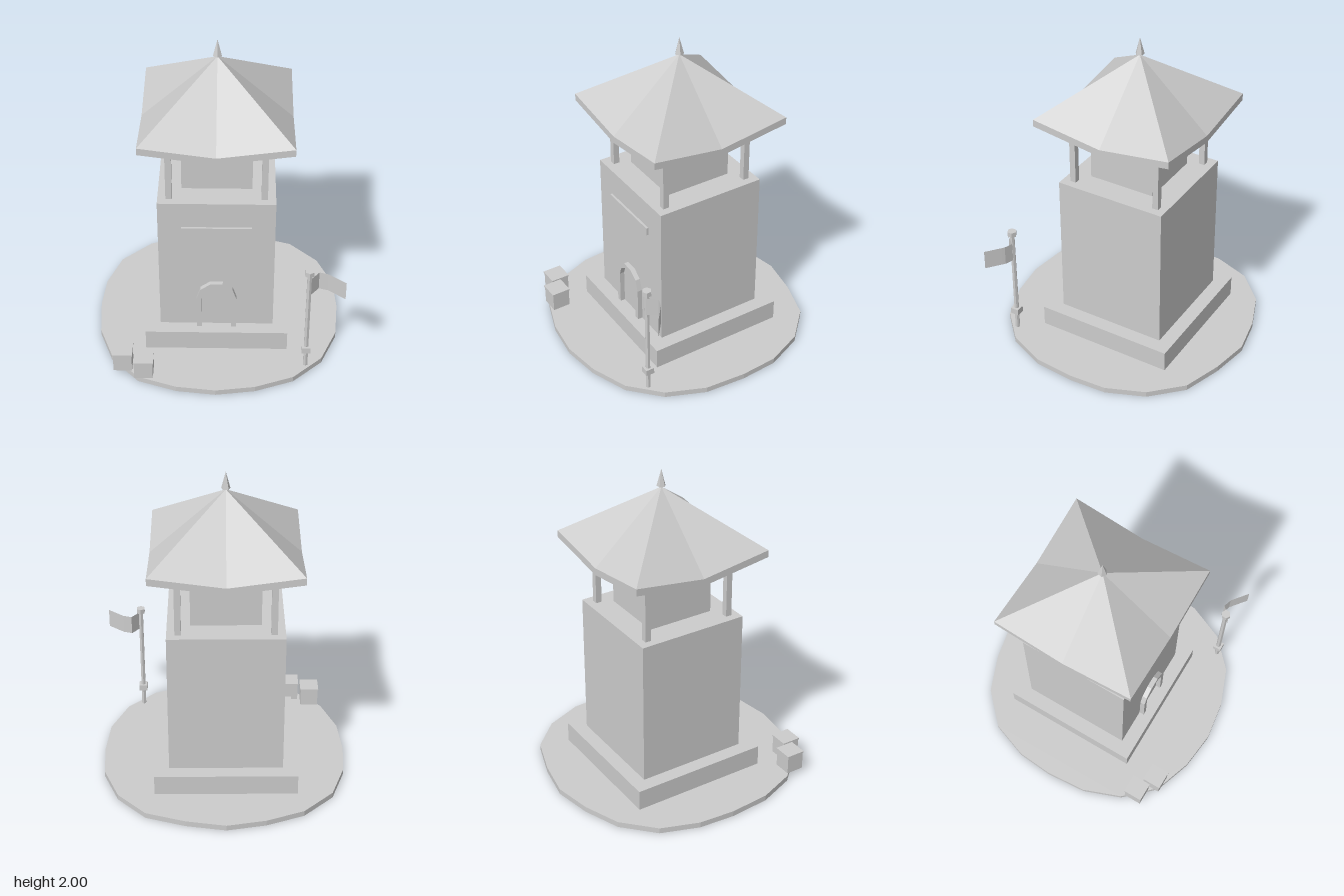
import * as THREE from 'three';

export function createModel() {
  const model = new THREE.Group();
  const stone = new THREE.MeshStandardMaterial({ color: 0xcccccc, flatShading: true });
  stone.name = 'pale grey';
  const cloth = new THREE.MeshStandardMaterial({ color: 0xcccccc, flatShading: true, side: THREE.DoubleSide });
  cloth.name = 'pale grey cloth';

  const add = (name, geometry, x = 0, y = 0, z = 0, parent = model, material = stone) => {
    const mesh = new THREE.Mesh(geometry, material);
    mesh.name = name;
    mesh.position.set(x, y, z);
    parent.add(mesh);
    return mesh;
  };
  // Box given by its footprint centre, bottom and top
  const box = (name, w, d, y0, y1, x, z, parent) =>
    add(name, new THREE.BoxGeometry(w, y1 - y0, d), x, (y0 + y1) / 2, z, parent);
  const rod = (name, r, y0, y1, parent) =>
    add(name, new THREE.CylinderGeometry(r, r, y1 - y0, 6), 0, (y0 + y1) / 2, 0, parent);

  // Uneven round ground slab, outline as x, z pairs
  const outline = [
    [-0.008, -0.783], [0.237, -0.74], [0.482, -0.66], [0.66, -0.48], [0.756, -0.245],
    [0.77, -0.008], [0.748, 0.25], [0.647, 0.487], [0.467, 0.658], [0.232, 0.748],
    [-0.008, 0.783], [-0.248, 0.755], [-0.485, 0.673], [-0.66, 0.487], [-0.75, 0.25],
    [-0.77, -0.008], [-0.752, -0.235], [-0.668, -0.47], [-0.482, -0.648], [-0.25, -0.737],
  ];
  const slab = new THREE.ExtrudeGeometry(
    new THREE.Shape(outline.map(([x, z]) => new THREE.Vector2(x, -z))),
    { depth: 0.036, bevelEnabled: false });
  slab.rotateX(-Math.PI / 2);
  add('groundSlab', slab);

  // Tower, centred slightly off the slab
  const tower = new THREE.Group();
  tower.name = 'tower';
  tower.position.set(-0.009, 0, -0.034);
  model.add(tower);
  box('plinth', 0.884, 0.884, 0.035, 0.168, 0, 0, tower);
  box('towerBody', 0.704, 0.704, 0.168, 1.094, 0, 0, tower);
  box('lookoutRoom', 0.424, 0.424, 1.108, 1.465, 0, 0, tower);
  for (const sx of [-1, 1]) for (const sz of [-1, 1]) {
    box('roofPost', 0.038, 0.038, 1.094, 1.485, sx * 0.284, sz * 0.284, tower);
  }
  box('frontPlaque', 0.424, 0.02, 0.874, 0.924, 0, 0.356, tower);

  // Roof: square eaves with corners lifted above the edge midpoints
  const ring = [];
  for (let i = 0; i < 8; i++) {
    const a = (i * Math.PI) / 4;
    const corner = i % 2 === 1;
    const r = corner ? 0.45 * Math.SQRT2 : 0.45;
    ring.push([Math.sin(a) * r, corner ? 1.548 : 1.485, Math.cos(a) * r]);
  }
  const lower = ring.map(([x, y, z]) => [x, y - 0.044, z]);
  const tris = [];
  for (let i = 0; i < 8; i++) {
    const j = (i + 1) % 8;
    tris.push(ring[i], ring[j], [0, 1.89, 0]);
    tris.push(lower[i], lower[j], ring[j], lower[i], ring[j], ring[i]);
    tris.push(lower[j], lower[i], [0, 1.425, 0]);
  }
  const roof = new THREE.BufferGeometry();
  roof.setAttribute('position', new THREE.Float32BufferAttribute(tris.flat(), 3));
  roof.computeVertexNormals();
  add('roof', roof, 0, 0, 0, tower);
  add('finial', new THREE.ConeGeometry(0.028, 0.105, 5), 0, 1.9475, 0, tower);

  // Door surround: straight jambs under a five-sided arch
  const arch = (r) => {
    const points = [new THREE.Vector2(-r, 0.168)];
    for (let i = 0; i <= 5; i++) {
      const a = Math.PI * (1 - i / 5);
      points.push(new THREE.Vector2(Math.cos(a) * r, 0.39 + Math.sin(a) * r));
    }
    points.push(new THREE.Vector2(r, 0.168));
    return points;
  };
  const frameShape = new THREE.Shape([...arch(0.123), ...arch(0.092).reverse()]);
  add('doorSurround', new THREE.ExtrudeGeometry(frameShape, { depth: 0.033, bevelEnabled: false }),
    0, 0, 0.35, tower);

  // Two lidded crates
  for (const [x, z] of [[-0.582, 0.561], [-0.45, 0.627]]) {
    const crate = new THREE.Group();
    crate.name = 'crate';
    crate.position.set(x, 0, z);
    model.add(crate);
    box('crateBody', 0.114, 0.114, 0.036, 0.155, 0, 0, crate);
    box('crateLid', 0.122, 0.122, 0.153, 0.163, 0, 0, crate);
  }

  // Flagpole with a cap, a collar and a waving flag
  const flagpole = new THREE.Group();
  flagpole.name = 'flagpole';
  flagpole.position.set(0.544, 0, 0.541);
  model.add(flagpole);
  rod('pole', 0.0155, 0.036, 0.76, flagpole);
  rod('poleCap', 0.029, 0.747, 0.779, flagpole);
  box('poleCollar', 0.054, 0.054, 0.15, 0.19, 0, 0, flagpole);

  const wave = [[0.012, 0.018], [0.06, -0.042], [0.113, -0.025], [0.13, -0.012], [0.214, 0.055]];
  const flag = new THREE.PlaneGeometry(1, 0.122, wave.length - 1, 1);
  const p = flag.attributes.position;
  for (let i = 0; i < p.count; i++) {
    const [x, z] = wave[i % wave.length];
    p.setX(i, x);
    p.setZ(i, z);
  }
  flag.computeVertexNormals();
  add('flag', flag, 0, 0.674, 0, flagpole, cloth);

  return model;
}
